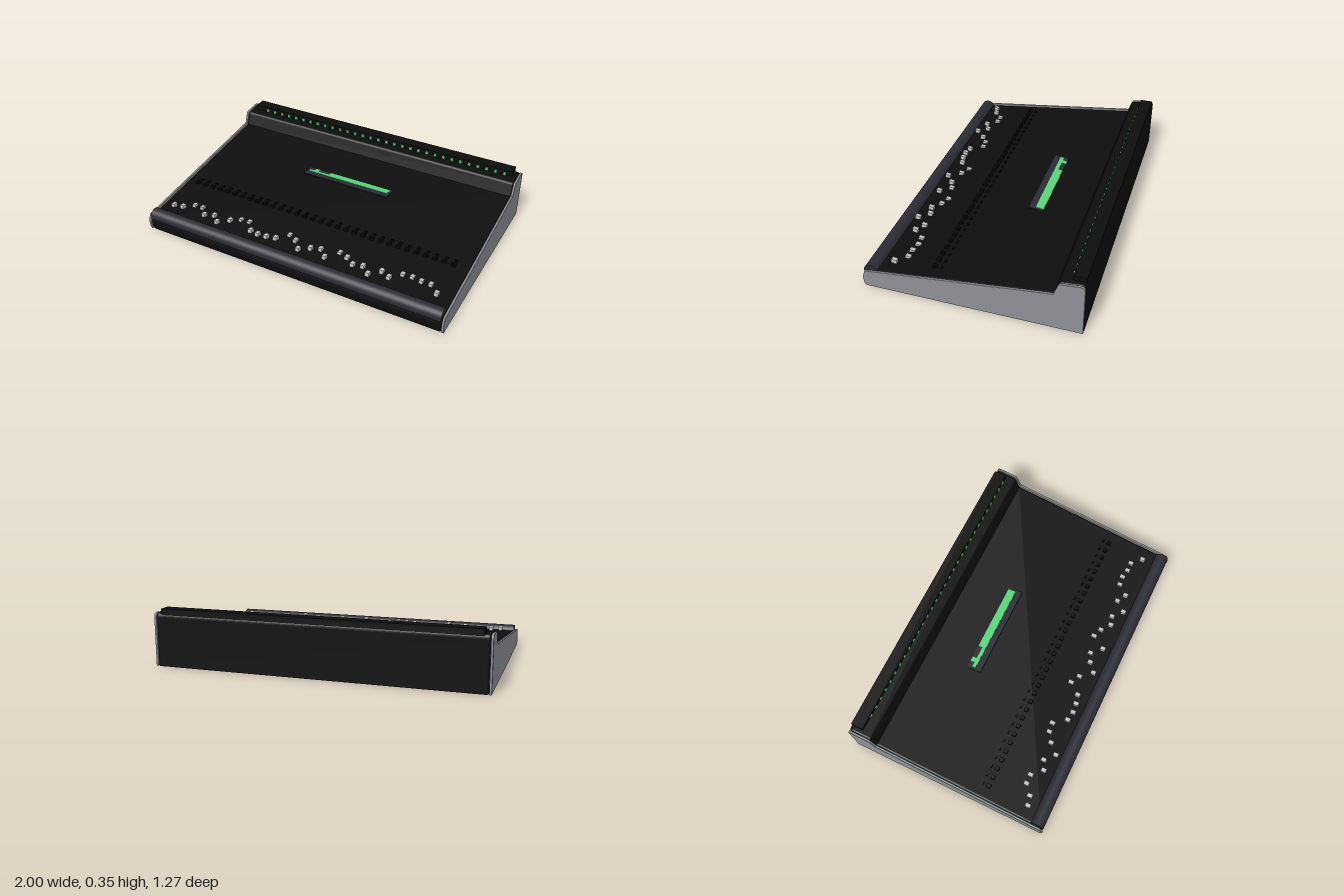
import * as THREE from 'three';

const material = (name, color, extra = {}) => {
  const m = new THREE.MeshStandardMaterial({ color, ...extra });
  m.name = name;
  return m;
};

// Height of the sloping control surface at depth z
const deckY = z => 0.173 - 0.12 * z;
const SLOPE = Math.atan(0.12);

// Side outline of the desk; x of the shape becomes z, drop lowers the deck
function outline(drop, front) {
  const s = new THREE.Shape();
  s.moveTo(-0.638, 0);
  s.lineTo(front - 0.012, 0);
  s.quadraticCurveTo(front + 0.012, 0.055, front - 0.018, 0.106 - drop);
  s.lineTo(-0.468, 0.238 - drop);
  s.lineTo(-0.492, 0.302);
  s.quadraticCurveTo(-0.496, 0.312, -0.506, 0.314);
  s.lineTo(-0.608, 0.325);
  s.quadraticCurveTo(-0.638, 0.325, -0.638, 0.298);
  s.closePath();
  return s;
}

// Extrude an outline across the desk, centred on x = 0
function acrossDesk(shape, width, bevel) {
  const g = new THREE.ExtrudeGeometry(shape, {
    depth: width - 2 * bevel, curveSegments: 8, bevelEnabled: true,
    bevelSize: bevel, bevelThickness: bevel, bevelOffset: -bevel, bevelSegments: 3,
  });
  g.translate(0, 0, -(width - 2 * bevel) / 2);
  g.rotateY(-Math.PI / 2);
  return g;
}

export function createModel() {
  const root = new THREE.Group();
  root.name = 'mixingConsole';

  const black = material('body black', 0x0d0d0d);
  const deepBlack = material('control black', 0x060606);
  const grey = material('side panel grey', 0x8e9196);
  const slate = material('slate', 0x2c2c36);
  const silver = material('fader cap silver', 0xc6c6c6);
  const green = material('meter green', 0x55d678);

  const add = (name, geometry, mat, x = 0, y = 0, z = 0, tilt = 0, parent = root) => {
    const mesh = new THREE.Mesh(geometry, mat);
    mesh.name = name;
    mesh.position.set(x, y, z);
    mesh.rotation.x = tilt;
    parent.add(mesh);
    return mesh;
  };
  const group = name => {
    const g = new THREE.Group();
    g.name = name;
    root.add(g);
    return g;
  };

  // Desk body between the two cheeks
  add('body', acrossDesk(outline(0.008, 0.634), 1.97, 0.012), black);
  const cheek = acrossDesk(outline(0, 0.637), 0.014, 0.002);
  add('leftSidePanel', cheek, grey, 0.993);
  add('rightSidePanel', cheek, grey, -0.993);

  // Padded wrist rest along the front edge
  const rest = new THREE.CylinderGeometry(0.042, 0.042, 1.96, 32);
  rest.rotateZ(Math.PI / 2);
  add('armRest', rest, slate, 0, 0.095, 0.592);

  // Meter bridge with its row of lights
  add('meterBridge', new THREE.BoxGeometry(1.905, 0.045, 0.075), black, 0, 0.3275, -0.5975);
  const meters = group('meterLights');
  const light = new THREE.BoxGeometry(0.017, 0.02, 0.008);
  for (let i = 0; i < 31; i++) {
    add('meterLight', light, green, -0.855 + i * 0.0587, 0.328, -0.556, 0, meters);
  }

  // Central display, leaning back into the deck
  const display = group('display');
  display.position.set(-0.004, 0.2045, -0.165);
  display.rotation.x = -SLOPE;
  add('displayFrame', new THREE.BoxGeometry(0.6, 0.007, 0.092), slate, 0, 0, 0, 0, display);
  add('displayLowBand', new THREE.BoxGeometry(0.57, 0.002, 0.022), green, 0, 0.004, -0.006, 0, display);
  add('displayHighBand', new THREE.BoxGeometry(0.43, 0.002, 0.028), green, 0.07, 0.004, -0.031, 0, display);
  add('displaySegment', new THREE.BoxGeometry(0.03, 0.002, 0.028), green, -0.24, 0.004, -0.031, 0, display);

  // Channel strips: slot, fader cap and two buttons each
  const faderZ = [
    0.495, 0.48, 0.43, 0.43, 0.49, 0.463, 0.517, 0.458, 0.42, 0.415, 0.49, 0.5, 0.495, 0.48, 0.41, 0.44,
    0.51, 0.463, 0.44, 0.5, 0.415, 0.436, 0.48, 0.463, 0.517, 0.452, 0.484, 0.42, 0.415, 0.425, 0.425, 0.484,
  ];
  const channels = group('channels');
  const slot = new THREE.BoxGeometry(0.006, 0.003, 0.17);
  const cap = new THREE.BoxGeometry(0.024, 0.024, 0.032);
  const button = new THREE.BoxGeometry(0.024, 0.016, 0.024);
  const smallButton = new THREE.BoxGeometry(0.018, 0.012, 0.012);
  faderZ.forEach((z, i) => {
    const x = -0.9 + i * 0.0578;
    add('faderSlot', slot, deepBlack, x, deckY(0.455) - 0.003, 0.455, SLOPE, channels);
    add('faderCap', cap, silver, x, 0.135 - 0.1 * (0.535 - z), z, -SLOPE, channels);
    add('channelButton', button, deepBlack, x, deckY(0.235) + 0.009, 0.235, -SLOPE, channels);
    add('smallButton', smallButton, deepBlack, x, deckY(0.195) + 0.002, 0.195, -SLOPE, channels);
  });

  return root;
}
